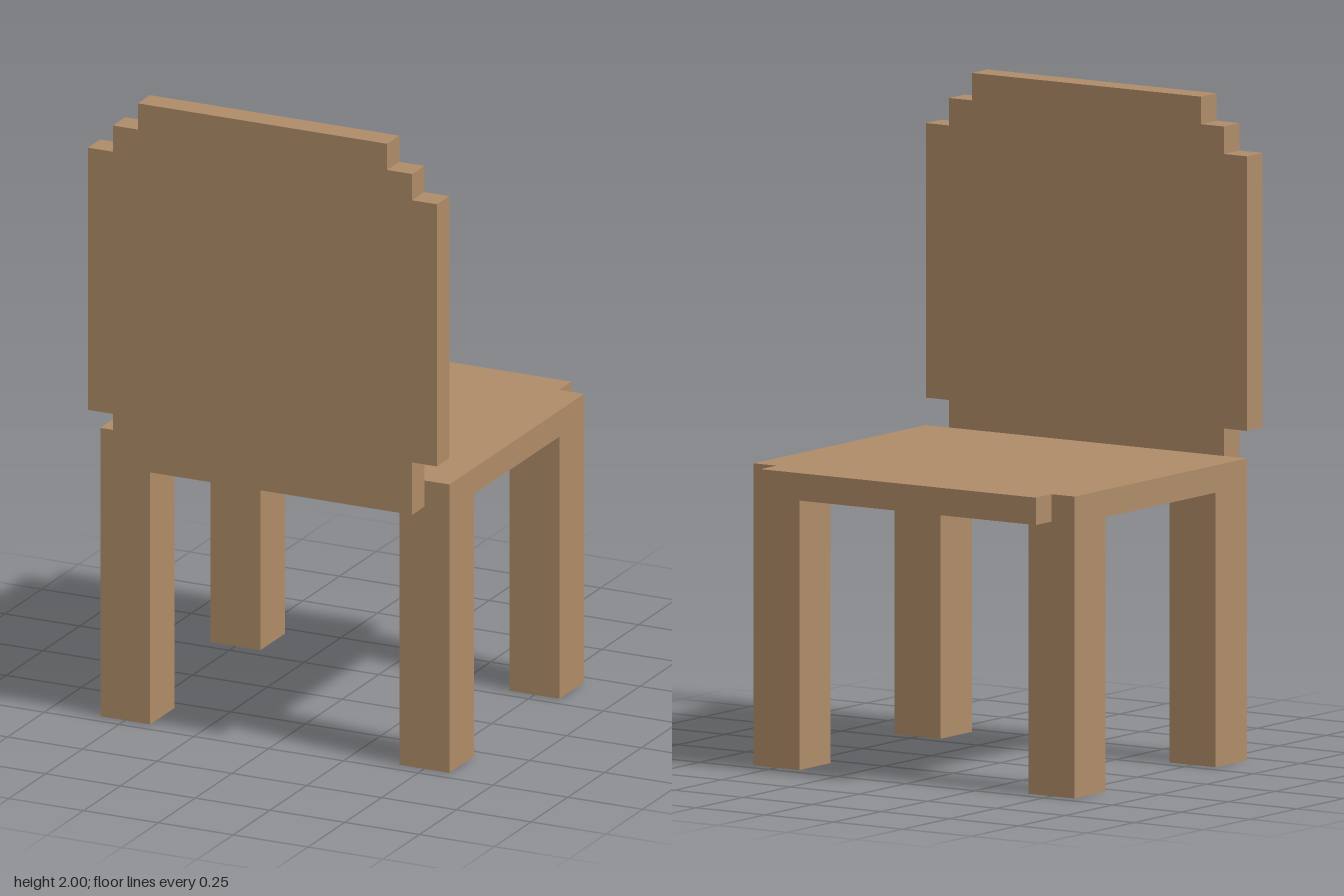
import * as THREE from 'three';

// Everything sits on a block grid, 24 blocks tall
const U = 1 / 12;

// Mirrored stepped outline from the right-hand corner points, in blocks
function steppedShape(half) {
  const right = half.map(([x, y]) => new THREE.Vector2(x * U, y * U));
  const left = half.map(([x, y]) => new THREE.Vector2(-x * U, y * U)).reverse();
  return new THREE.Shape([...right, ...left]);
}

function slab(name, half, material) {
  const geometry = new THREE.ExtrudeGeometry(steppedShape(half), { depth: U, bevelEnabled: false });
  const mesh = new THREE.Mesh(geometry, material);
  mesh.name = name;
  return mesh;
}

export function createModel() {
  const wood = new THREE.MeshStandardMaterial({ color: 0xaf8c68 });
  wood.name = 'wood';
  const chair = new THREE.Group();
  chair.name = 'chair';

  // Backrest with stepped top corners and a narrower foot
  const backrest = slab('backrest', [
    [6, 10], [6, 12], [7, 12], [7, 22], [6, 22], [6, 23], [5, 23], [5, 24],
  ], wood);
  backrest.position.z = 5.5 * U;
  chair.add(backrest);

  // Seat with a narrower lip at the far edge, laid flat
  const seat = slab('seat', [
    [7, -5.5], [7, 5.5], [6, 5.5], [6, 6.5],
  ], wood);
  seat.rotation.x = -Math.PI / 2;
  seat.position.y = 10 * U;
  chair.add(seat);

  // Four square legs
  const legGeometry = new THREE.BoxGeometry(2 * U, 10 * U, 2 * U);
  for (const [xName, x] of [['Left', 6], ['Right', -6]]) {
    for (const [zName, z] of [['front', 4.5], ['back', -4.5]]) {
      const leg = new THREE.Mesh(legGeometry, wood);
      leg.name = `${zName}${xName}Leg`;
      leg.position.set(x * U, 5 * U, z * U);
      chair.add(leg);
    }
  }
  return chair;
}
